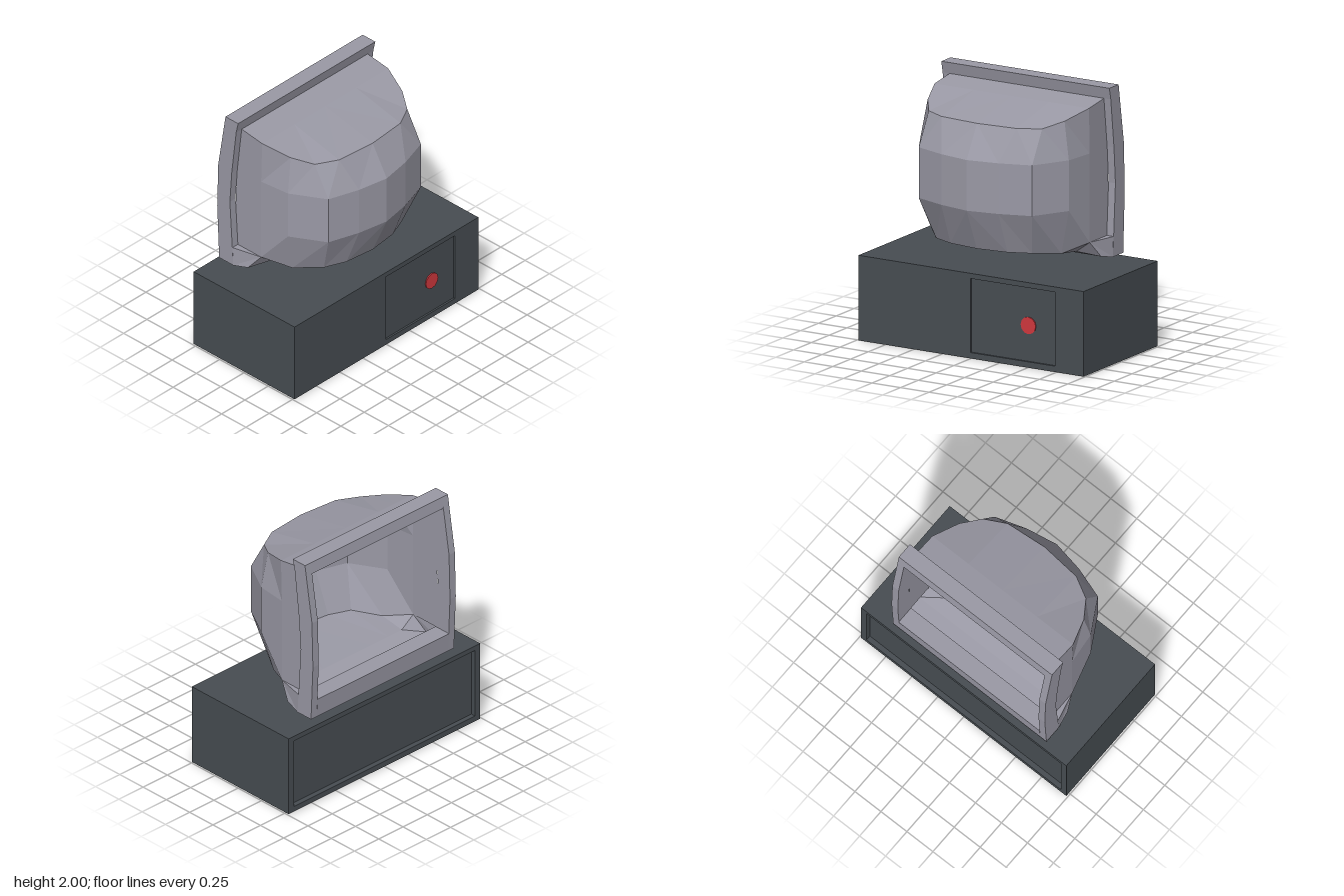
import * as THREE from 'three';

const CX = -0.023; // the monitor sits slightly off centre

export function createModel() {
  const grey = new THREE.MeshStandardMaterial({ color: 0x9a99a5, side: THREE.DoubleSide });
  grey.name = 'casing grey';
  const dark = new THREE.MeshStandardMaterial({ color: 0x474d52 });
  dark.name = 'charcoal';
  const red = new THREE.MeshStandardMaterial({ color: 0xd0383e });
  red.name = 'button red';

  const model = new THREE.Group();
  const add = (name, geometry, material, parent = model) => {
    const mesh = new THREE.Mesh(geometry, material);
    mesh.name = name;
    parent.add(mesh);
    return mesh;
  };

  // Monitor
  const monitor = new THREE.Group();
  monitor.name = 'monitor';
  monitor.position.x = CX;
  model.add(monitor);

  // Casing: rows from the roof's rear edge, round the bulge, to the floor's rear edge.
  // Each row lists [x, y, z] from the middle to the side; the other half is mirrored.
  const level = (y, z, xs) => xs.map((x) => [x, y, z]);
  const wall = (y, zEdge) => [
    [0, y, 0.535], [0.25, y, 0.49], [0.497, y, 0.41],
    [0.65, y, 0.14], [0.677, y, -0.11], [0.677, y, zEdge],
  ];
  const rows = [
    level(1.91, -0.31, [0, 0.33, 0.497, 0.6, 0.677, 0.677]),
    [...level(1.88, -0.1, [0, 0.33, 0.497, 0.6, 0.677]), [0.677, 1.91, -0.31]],
    [[0, 1.78, 0.39], [0.33, 1.78, 0.36], [0.497, 1.78, 0.27], [0.6, 1.82, 0.12], [0.677, 1.88, -0.1], [0.677, 1.91, -0.31]],
    wall(1.53, -0.36),
    wall(1.14, -0.375),
    [[0, 0.815, 0.39], [0.25, 0.815, 0.36], [0.42, 0.815, 0.29], [0.56, 0.79, 0.1], [0.677, 0.845, -0.11], [0.677, 0.845, -0.36]],
    [...level(0.76, -0.11, [0, 0.25, 0.42, 0.56]), [0.677, 0.845, -0.11], [0.737, 0.845, -0.36]],
    [...level(0.72, -0.21, [0, 0.25, 0.42, 0.56, 0.715]), [0.737, 0.69, -0.34]],
    level(0.69, -0.34, [0, 0.25, 0.42, 0.56, 0.737, 0.737]),
  ];
  const full = rows.map((r) => [
    ...r.slice(1).reverse().map(([x, y, z]) => [-x, y, z]), ...r,
  ]);
  const cols = full[0].length;
  const index = [];
  for (let j = 0; j < full.length - 1; j++) {
    for (let i = 0; i < cols - 1; i++) {
      const a = j * cols + i, b = a + 1, c = a + cols, d = c + 1;
      // Mirror the diagonals about the middle
      if (i < (cols - 1) / 2) index.push(a, c, b, b, c, d);
      else index.push(a, c, d, a, d, b);
    }
  }
  let shell = new THREE.BufferGeometry();
  shell.setAttribute('position', new THREE.Float32BufferAttribute(full.flat(2), 3));
  shell.setIndex(index);
  shell = shell.toNonIndexed();
  shell.computeVertexNormals();
  add('casing', shell, grey, monitor);

  // Screen frame: side profiles given as [z, y], extruded along x
  const bar = (name, profile, x0, x1) => {
    const shape = new THREE.Shape(profile.map(([z, y]) => new THREE.Vector2(-z, y)));
    const g = new THREE.ExtrudeGeometry(shape, { depth: x1 - x0, bevelEnabled: false });
    g.rotateY(Math.PI / 2);
    g.translate(x0, 0, 0);
    add(name, g, grey, monitor);
  };
  const post = [
    [-0.29, 2], [-0.31, 1.91], [-0.355, 1.53], [-0.375, 1.25], [-0.35, 0.845],
    [-0.34, 0.69], [-0.485, 0.69], [-0.505, 1.15], [-0.495, 1.53], [-0.42, 2],
  ];
  bar('frameLeft', post, 0.677, 0.737);
  bar('frameRight', post, -0.737, -0.677);
  bar('frameTop', [[-0.29, 2], [-0.31, 1.91], [-0.434, 1.91], [-0.42, 2]], -0.677, 0.677);
  bar('frameBottom', [[-0.34, 0.69], [-0.35, 0.845], [-0.495, 0.845], [-0.485, 0.69]], -0.677, 0.677);

  // Base unit: a core with a recessed panel at the front and another at the back
  const W = 0.9875, H = 0.655, Z0 = -0.53, Z1 = 0.51;
  const rect = (s, x0, y0, x1, y1) =>
    s.moveTo(x0, y0).lineTo(x1, y0).lineTo(x1, y1).lineTo(x0, y1).lineTo(x0, y0);
  const rim = (name, hole, z, depth) => {
    const shape = rect(new THREE.Shape(), -W, 0, W, H);
    shape.holes.push(rect(new THREE.Path(), ...hole));
    const g = new THREE.ExtrudeGeometry(shape, { depth, bevelEnabled: false });
    add(name, g.translate(0, 0, z), dark);
  };
  const front = 0.015, back = 0.04;
  const depth = Z1 - Z0 - front - back;
  add('baseUnit', new THREE.BoxGeometry(2 * W, H, depth), dark)
    .position.set(0, H / 2, Z0 + back + depth / 2);
  rim('frontFascia', [-0.005, 0.045, 0.735, 0.615], Z1 - front, front);
  rim('backRim', [-0.935, 0.045, 0.935, 0.615], Z0, back);

  // Power button
  const button = new THREE.CylinderGeometry(0.066, 0.066, 0.009, 12).rotateX(Math.PI / 2);
  add('powerButton', button, red).position.set(0.497, 0.322, Z1 - front + 0.0045);

  return model;
}
